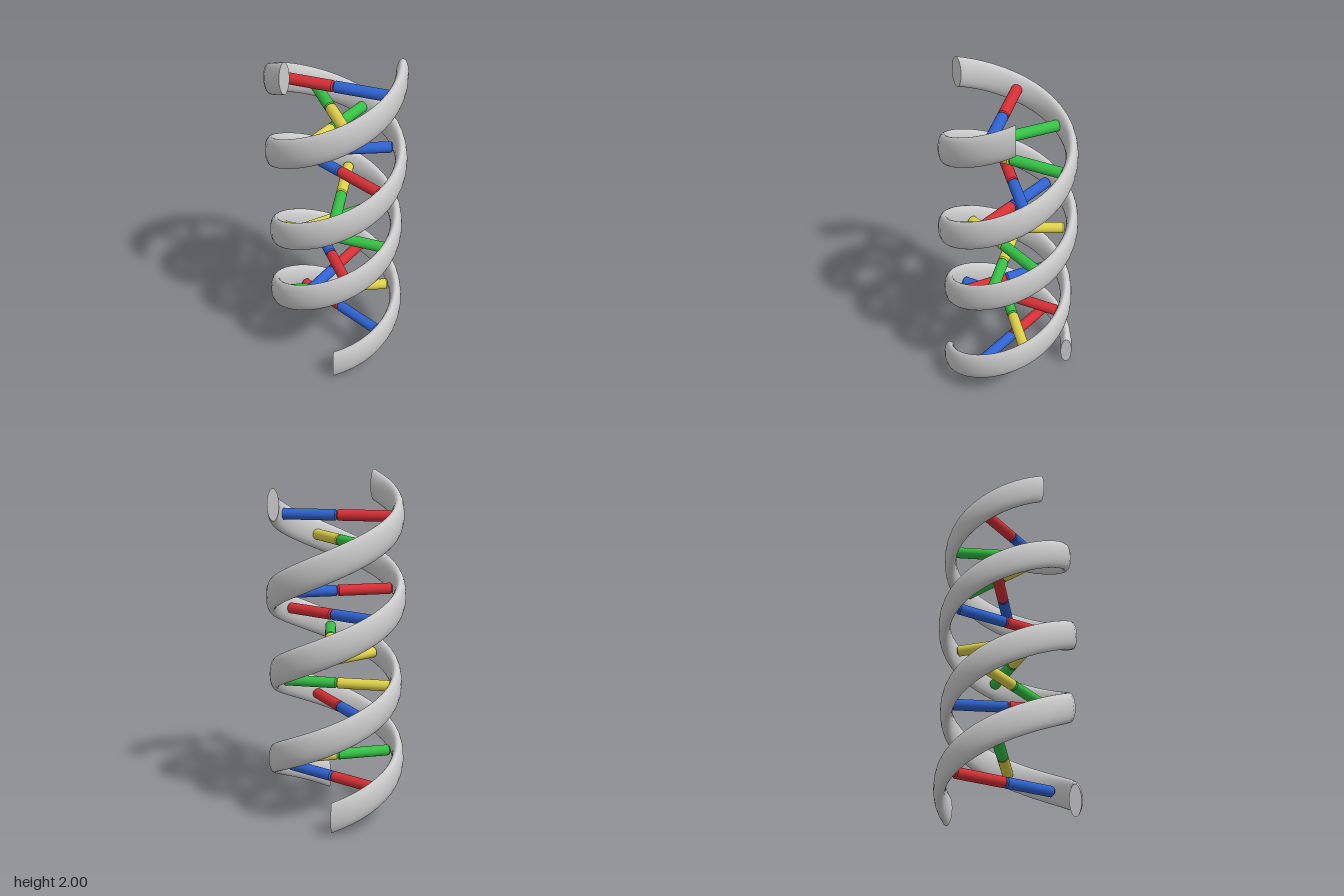
import * as THREE from 'three';

const DEG = Math.PI / 180;
const RADIUS = 0.357;

// Helical band: an upright elliptical section swept around a vertical axis, capped at both ends
function helixStrand(name, axisZ, phi0, phi1, y0, y1, material) {
  const steps = 72, sides = 24, halfWidth = 0.034, halfHeight = 0.09;
  const pos = [], index = [];
  const ring = (t) => {
    const phi = (phi0 + (phi1 - phi0) * t) * DEG;
    for (let j = 0; j < sides; j++) {
      const a = (j / sides) * Math.PI * 2;
      const r = RADIUS + halfWidth * Math.cos(a);
      pos.push(r * Math.sin(phi), y0 + (y1 - y0) * t + halfHeight * Math.sin(a), axisZ + r * Math.cos(phi));
    }
  };
  for (let i = 0; i <= steps; i++) ring(i / steps);
  for (let i = 0; i < steps; i++) {
    for (let j = 0; j < sides; j++) {
      const k = (j + 1) % sides;
      const p = i * sides + j, q = i * sides + k;
      index.push(p, p + sides, q, q, p + sides, q + sides);
    }
  }
  // Flat end caps with their own vertices
  for (const t of [0, 1]) {
    const start = pos.length / 3;
    ring(t);
    for (let j = 1; j < sides - 1; j++) {
      if (t === 0) index.push(start, start + j, start + j + 1);
      else index.push(start, start + j + 1, start + j);
    }
  }
  const geo = new THREE.BufferGeometry();
  geo.setAttribute('position', new THREE.Float32BufferAttribute(pos, 3));
  geo.setIndex(index);
  geo.computeVertexNormals();
  const mesh = new THREE.Mesh(geo, material);
  mesh.name = name;
  return mesh;
}

// Half of a rung: a rod along +y with small bevelled ends
function rodGeometry(length, r) {
  const b = 0.008;
  const profile = [
    [0, 0], [r - b, 0], [r - b, 0], [r, b], [r, b],
    [r, length - b], [r, length - b], [r - b, length], [r - b, length], [0, length],
  ].map(([x, y]) => new THREE.Vector2(x, y));
  return new THREE.LatheGeometry(profile, 24);
}

export function createModel() {
  const model = new THREE.Group();
  model.name = 'doubleHelix';

  const grey = new THREE.MeshStandardMaterial({ color: 0xcccccc });
  const colors = { R: 0xd63036, B: 0x2f63d2, G: 0x35c145, Y: 0xdfd24a };
  const materials = {};
  for (const key in colors) materials[key] = new THREE.MeshStandardMaterial({ color: colors[key] });

  // Two interleaved strands
  model.add(helixStrand('firstStrand', 0.012, -34.4, 640.8, 0.09, 1.91, grey));
  model.add(helixStrand('secondStrand', -0.012, 135.4, 776.3, 0.102, 1.82, grey));

  // Rungs: paired coloured rods, red with blue and yellow with green
  const firstColors = 'BYRBYYGRBGGR';
  const partner = { R: 'B', B: 'R', G: 'Y', Y: 'G' };
  const rod = rodGeometry(0.32, 0.032);
  for (let i = 0; i < firstColors.length; i++) {
    const phi = (13.4 + 51.3 * i) * DEG;
    const rung = new THREE.Group();
    rung.name = 'rung' + (i + 1);
    // Each rung sits slightly beside the axis
    rung.position.set(0.03 * Math.cos(phi), 0.222 + 0.1396 * i, -0.03 * Math.sin(phi));
    rung.rotation.y = phi;
    const key = firstColors[i];
    const first = new THREE.Mesh(rod, materials[key]);
    first.name = 'firstBase';
    first.rotation.x = Math.PI / 2;
    const second = new THREE.Mesh(rod, materials[partner[key]]);
    second.name = 'secondBase';
    second.rotation.x = -Math.PI / 2;
    rung.add(first, second);
    model.add(rung);
  }
  return model;
}
